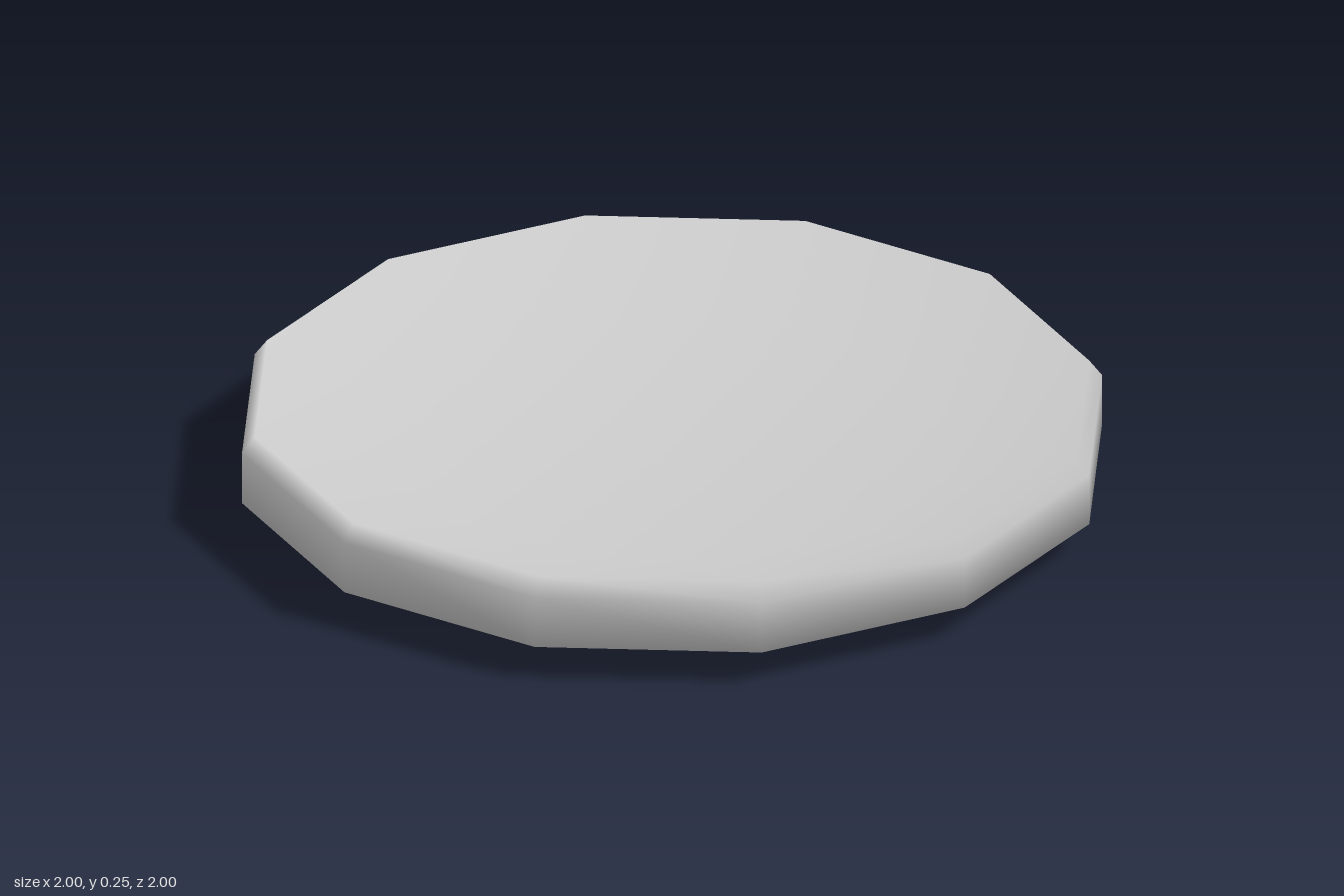
import * as THREE from 'three';

const SIDES = 12;

// Revolve a profile of [radius, height] pairs around the vertical axis
function turned(name, profile, material) {
  const points = profile.map(([r, y]) => new THREE.Vector2(r, y));
  const mesh = new THREE.Mesh(new THREE.LatheGeometry(points, SIDES), material);
  mesh.name = name;
  return mesh;
}

export function createModel() {
  const model = new THREE.Group();
  model.name = 'plate';
  const ceramic = new THREE.MeshStandardMaterial({ color: 0xcccccc });
  ceramic.name = 'pale grey ceramic';

  // Flat foot the plate stands on
  model.add(turned('base', [[0, 0], [0.6, 0]], ceramic));

  // Sloped underside, upright outer wall, bevelled rim and dished inside
  model.add(turned('dish', [
    [0.6, 0], [1, 0.085], [1, 0.21], [0.97, 0.25], [0.64, 0.145], [0, 0.145],
  ], ceramic));

  return model;
}
